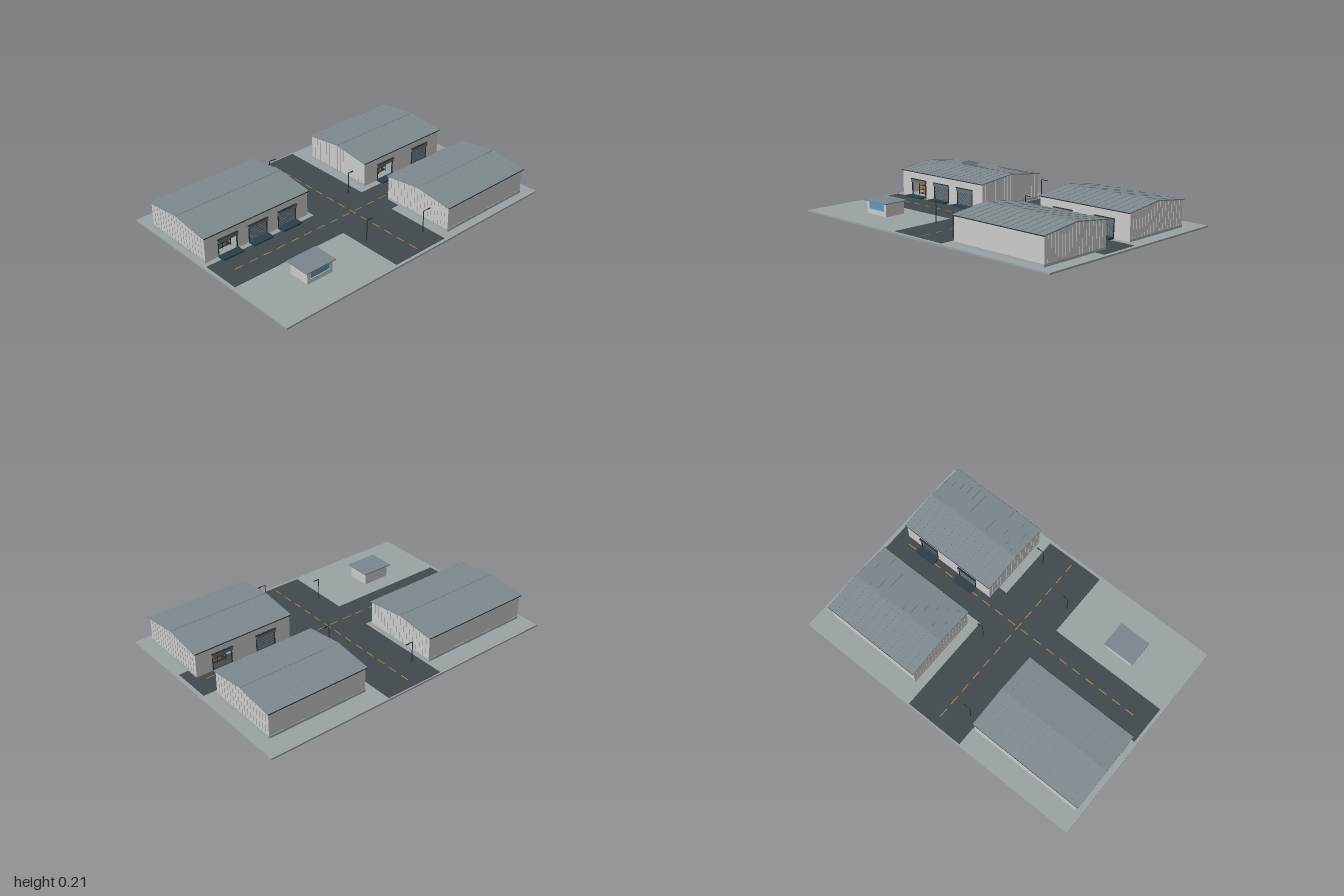
import * as THREE from 'three';

const mat = (c) => new THREE.MeshStandardMaterial({ color: c, flatShading: true, side: THREE.DoubleSide });
const M = {
  ground: mat(0x9aa2a4), road: mat(0x42494d), dash: mat(0xa8853f), wall: mat(0xc0c4c4), plinth: mat(0xa7adae),
  roof: mat(0x7f8a8e), dark: mat(0x2a3034), dock: mat(0x2d3d48), shutter: mat(0x66727a),
  crate: mat(0xb5793a), glass: mat(0x5c9ab8), kioskRoof: mat(0x7c858c),
};

function add(parent, name, geometry, material, x = 0, y = 0, z = 0) {
  const mesh = new THREE.Mesh(geometry, material);
  mesh.name = name;
  mesh.position.set(x, y, z);
  parent.add(mesh);
  return mesh;
}
// Box given by its centre in x and z and by its bottom height
const box = (parent, name, material, w, h, d, x, y, z) =>
  add(parent, name, new THREE.BoxGeometry(w, h, d), material, x, y + h / 2, z);

// Extrudes a (z, y) outline along x, centred on x = 0
function extrudeAlongX(points, length) {
  const shape = new THREE.Shape(points.map(([z, y]) => new THREE.Vector2(z, y)));
  return new THREE.ExtrudeGeometry(shape, { depth: length, bevelEnabled: false })
    .rotateY(-Math.PI / 2).translate(length / 2, 0, 0);
}

const GROUND = 0.01, EAVE = 0.172, RIDGE = 0.202;
const DOOR_W = 0.13, DOOR_TOP = 0.105;

// Storage rack with crates behind an open door
function makeRack() {
  const rack = new THREE.Group();
  rack.name = 'storageRack';
  for (const x of [-0.058, 0, 0.058])
    for (const z of [-0.018, 0.018]) box(rack, 'rackPost', M.dark, 0.004, 0.09, 0.004, x, GROUND, z);
  [0.018, 0.045, 0.072].forEach((y, row) => {
    box(rack, 'rackShelf', M.dark, 0.12, 0.003, 0.04, 0, y, 0);
    for (let i = 0; i < 4; i++)
      if ((i + row) % 3) box(rack, 'crate', M.crate, 0.022, 0.016 + 0.003 * (i % 2), 0.028, -0.043 + i * 0.029, y + 0.003, 0);
  });
  return rack;
}

// One loading bay: frame, shutter box, dock plate and a shutter or a rack
function makeBay(open) {
  const bay = new THREE.Group();
  bay.name = 'loadingBay';
  for (const s of [-1, 1]) box(bay, 'doorFrame', M.dark, 0.005, DOOR_TOP - GROUND, 0.008, s * DOOR_W / 2, GROUND, 0);
  box(bay, 'shutterBox', M.shutter, 0.14, 0.02, 0.014, 0, DOOR_TOP - 0.002, 0.004);
  box(bay, 'shutterBoxTop', M.dark, 0.144, 0.003, 0.016, 0, DOOR_TOP + 0.018, 0.004);
  box(bay, 'dockPlate', M.dock, 0.14, 0.011, 0.054, 0, GROUND, 0.03);
  if (open) {
    const rack = makeRack();
    rack.position.z = -0.07;
    bay.add(rack);
  } else {
    box(bay, 'shutter', M.dark, DOOR_W, DOOR_TOP - GROUND, 0.003, 0, GROUND, -0.005);
    for (let i = 0; i < 8; i++) box(bay, 'shutterSlat', M.shutter, DOOR_W - 0.006, 0.009, 0.005, 0, 0.015 + i * 0.0112, -0.003);
  }
  return bay;
}

// Hollow warehouse with a gable roof, bays in its +z wall; the first bay is open
function makeWarehouse(w, d, bays) {
  const g = new THREE.Group();
  g.name = 'warehouse';
  const hw = w / 2, hd = d / 2, t = 0.008;

  // Front wall with door openings, and plain back wall
  const front = new THREE.Shape();
  front.moveTo(-hw, GROUND).lineTo(hw, GROUND).lineTo(hw, EAVE).lineTo(-hw, EAVE).closePath();
  for (const x of bays) {
    const hole = new THREE.Path();
    const a = x - DOOR_W / 2, b = x + DOOR_W / 2;
    hole.moveTo(a, GROUND + 0.001).lineTo(a, DOOR_TOP).lineTo(b, DOOR_TOP).lineTo(b, GROUND + 0.001).closePath();
    front.holes.push(hole);
  }
  add(g, 'frontWall', new THREE.ExtrudeGeometry(front, { depth: t, bevelEnabled: false }), M.wall, 0, 0, hd - t);
  box(g, 'backWall', M.wall, w, EAVE - GROUND, t, 0, GROUND, -hd + t / 2);
  box(g, 'backPlinth', M.plinth, w, 0.016, 0.003, 0, GROUND, -hd - 0.001);

  // Gable walls with plinth and vertical cladding ribs
  const gable = [[-hd, GROUND], [hd, GROUND], [hd, EAVE], [0, RIDGE], [-hd, EAVE]];
  for (const s of [-1, 1]) {
    add(g, 'gableWall', extrudeAlongX(gable, t), M.wall, s * (hw - t / 2));
    box(g, 'gablePlinth', M.plinth, 0.004, 0.016, d, s * hw, GROUND, 0);
    const ribs = 18;
    for (let i = 1; i < ribs; i++) {
      const z = -hd + d * i / ribs;
      const top = RIDGE - (RIDGE - EAVE) * Math.abs(z) / hd;
      box(g, 'gableRib', M.wall, 0.004, top - GROUND - 0.018, 0.004, s * hw, GROUND + 0.016, z);
    }
  }

  // Roof with a slight overhang, eave trims, ridge cap and seams
  const slope = (RIDGE - EAVE) / hd, rd = hd + 0.009, rw = w + 0.014, e = RIDGE - slope * rd, k = 0.005;
  add(g, 'roof', extrudeAlongX([[-rd, e], [0, RIDGE], [rd, e], [rd, e + k], [0, RIDGE + k], [-rd, e + k]], rw), M.roof);
  for (const s of [-1, 1]) box(g, 'eaveTrim', M.dark, rw, 0.005, 0.003, 0, e - 0.001, s * rd);
  box(g, 'ridgeCap', M.roof, rw, 0.003, 0.01, 0, RIDGE + 0.0035, 0);
  const seams = Math.round(rw / 0.05), length = Math.hypot(rd, slope * rd);
  for (let i = 0; i <= seams; i++)
    for (const s of [-1, 1]) {
      const x = -rw / 2 + 0.002 + (rw - 0.004) * i / seams;
      const seam = add(g, 'roofSeam', new THREE.BoxGeometry(0.003, 0.002, length), M.roof, x, (RIDGE + e) / 2 + k + 0.0005, s * rd / 2);
      seam.rotation.x = s * Math.atan(slope);
    }

  bays.forEach((x, i) => {
    const bay = makeBay(i === 0);
    bay.position.set(x, 0, hd);
    g.add(bay);
  });
  return g;
}

// Street lamp with its arm reaching to +x
function makeLamp(reach) {
  const g = new THREE.Group();
  g.name = 'streetLamp';
  add(g, 'lampPole', new THREE.CylinderGeometry(0.0025, 0.003, 0.145, 8), M.dark, 0, GROUND + 0.0725, 0);
  box(g, 'lampArm', M.dark, reach, 0.003, 0.003, reach / 2, 0.152, 0);
  box(g, 'lampHead', M.dark, 0.02, 0.004, 0.007, reach - 0.01, 0.15, 0);
  return g;
}

// Small flat-roofed kiosk with a front window
function makeKiosk() {
  const g = new THREE.Group();
  g.name = 'kiosk';
  box(g, 'kioskBody', M.wall, 0.18, 0.08, 0.14, 0, GROUND, 0);
  box(g, 'kioskRoof', M.kioskRoof, 0.21, 0.006, 0.17, 0, GROUND + 0.08, 0);
  box(g, 'kioskWindow', M.glass, 0.13, 0.04, 0.004, 0, 0.045, 0.071);
  box(g, 'windowSill', M.plinth, 0.14, 0.004, 0.012, 0, 0.041, 0.074);
  return g;
}

export function createModel() {
  const model = new THREE.Group();
  model.name = 'warehouseYard';

  // Ground slab, crossing roads and lane dashes
  box(model, 'groundSlab', M.ground, 2, GROUND, 1.38, 0, 0, 0);
  box(model, 'mainRoad', M.road, 0.39, 0.003, 1.35, 0, GROUND - 0.001, -0.005);
  box(model, 'crossRoad', M.road, 1.955, 0.0028, 0.255, -0.0025, GROUND - 0.001, 0.107);
  for (let i = 0; i < 18; i++) box(model, 'laneDash', M.dash, 0.058, 0.001, 0.006, -0.85 + i * 0.1, GROUND + 0.0018, 0.105);
  for (let i = 0; i < 13; i++) box(model, 'laneDash', M.dash, 0.006, 0.001, 0.058, 0, GROUND + 0.0018, -0.593 + i * 0.1);

  const place = (part, x, z, turn = 0) => {
    part.position.set(x, 0, z);
    part.rotation.y = turn;
    model.add(part);
  };
  place(makeWarehouse(0.746, 0.505, [-0.215, 0, 0.215]), -0.59, -0.307);
  place(makeWarehouse(0.656, 0.488, [-0.152, 0.152]), 0.585, -0.307);
  place(makeWarehouse(0.656, 0.486, [-0.152, 0.152]), 0.585, 0.39, Math.PI);
  place(makeKiosk(), -0.59, 0.41);

  for (const [x, z, reach] of [[-0.135, -0.505, 0.05], [0.13, -0.07, 0.037], [-0.155, 0.39, 0.037], [0.15, 0.54, 0.053]])
    place(makeLamp(reach), x, z);
  return model;
}
